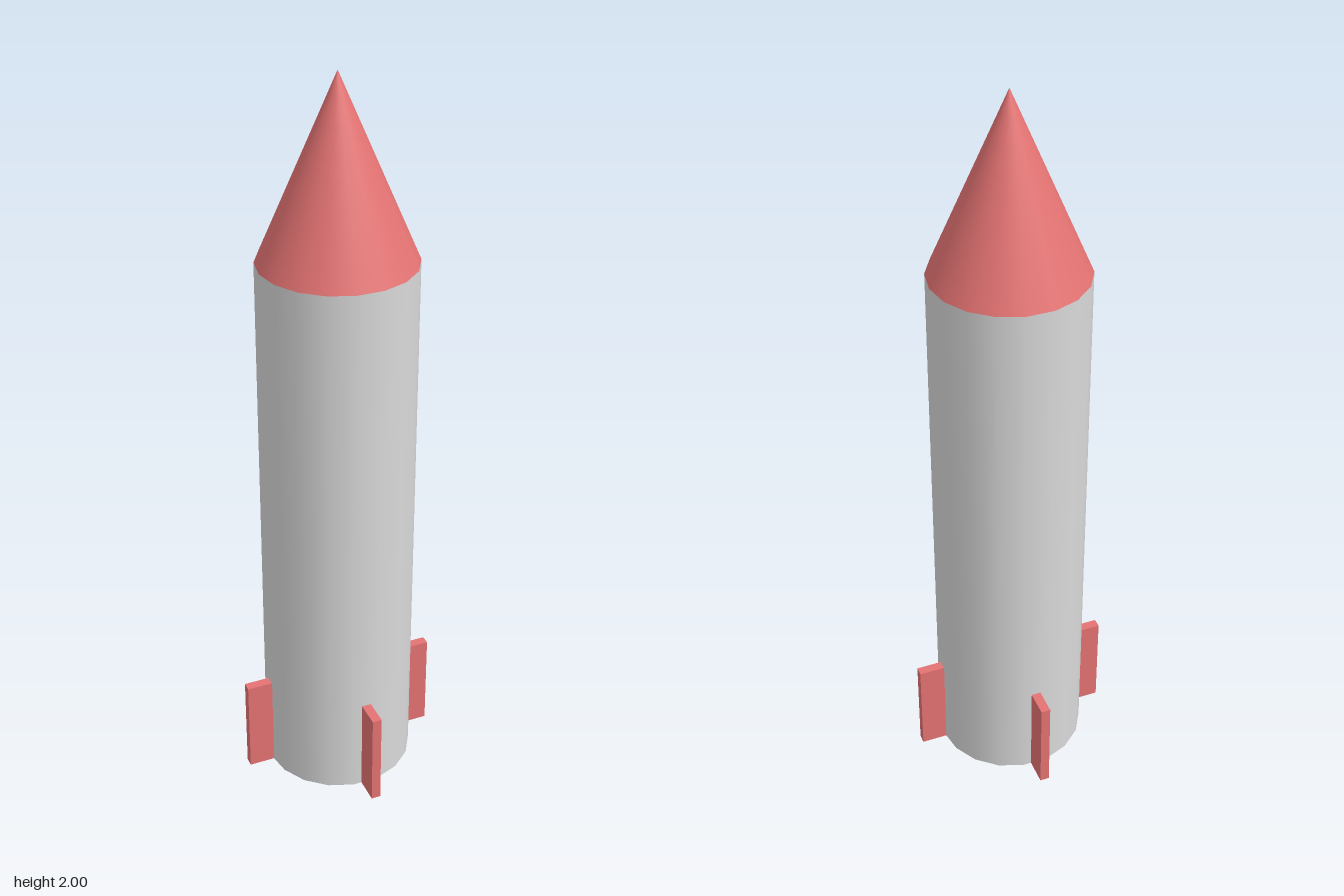
import * as THREE from 'three';

const RADIUS = 0.207, SIDES = 18, BODY_HEIGHT = 1.52, NOSE_HEIGHT = 0.48;
const FIN = { inner: 0.195, outer: 0.276, height: 0.275, thickness: 0.026 };

export function createModel() {
  const hullGrey = new THREE.MeshStandardMaterial({ name: 'hull grey', color: 0xd9d9d9 });
  const trimRed = new THREE.MeshStandardMaterial({ name: 'trim red', color: 0xe57373 });
  const rocket = new THREE.Group();
  rocket.name = 'rocket';

  function add(name, geometry, material, parent = rocket) {
    const mesh = new THREE.Mesh(geometry, material);
    mesh.name = name;
    parent.add(mesh);
    return mesh;
  }

  // Body and nose share the same ring, with a corner on the x axis
  add('body', new THREE.CylinderGeometry(RADIUS, RADIUS, BODY_HEIGHT, SIDES, 1, false, Math.PI / 2), hullGrey)
    .position.y = BODY_HEIGHT / 2;
  add('noseCone', new THREE.ConeGeometry(RADIUS, NOSE_HEIGHT, SIDES, 8, false, Math.PI / 2), trimRed)
    .position.y = BODY_HEIGHT + NOSE_HEIGHT / 2;

  // Four upright fins around the foot, rooted just inside the hull
  const fins = new THREE.Group();
  fins.name = 'fins';
  rocket.add(fins);
  const finGeometry = new THREE.BoxGeometry(FIN.outer - FIN.inner, FIN.height, FIN.thickness);
  finGeometry.translate((FIN.outer + FIN.inner) / 2, FIN.height / 2, 0);
  ['leftFin', 'backFin', 'rightFin', 'frontFin'].forEach((name, i) => {
    add(name, finGeometry, trimRed, fins).rotation.y = i * Math.PI / 2;
  });

  return rocket;
}
